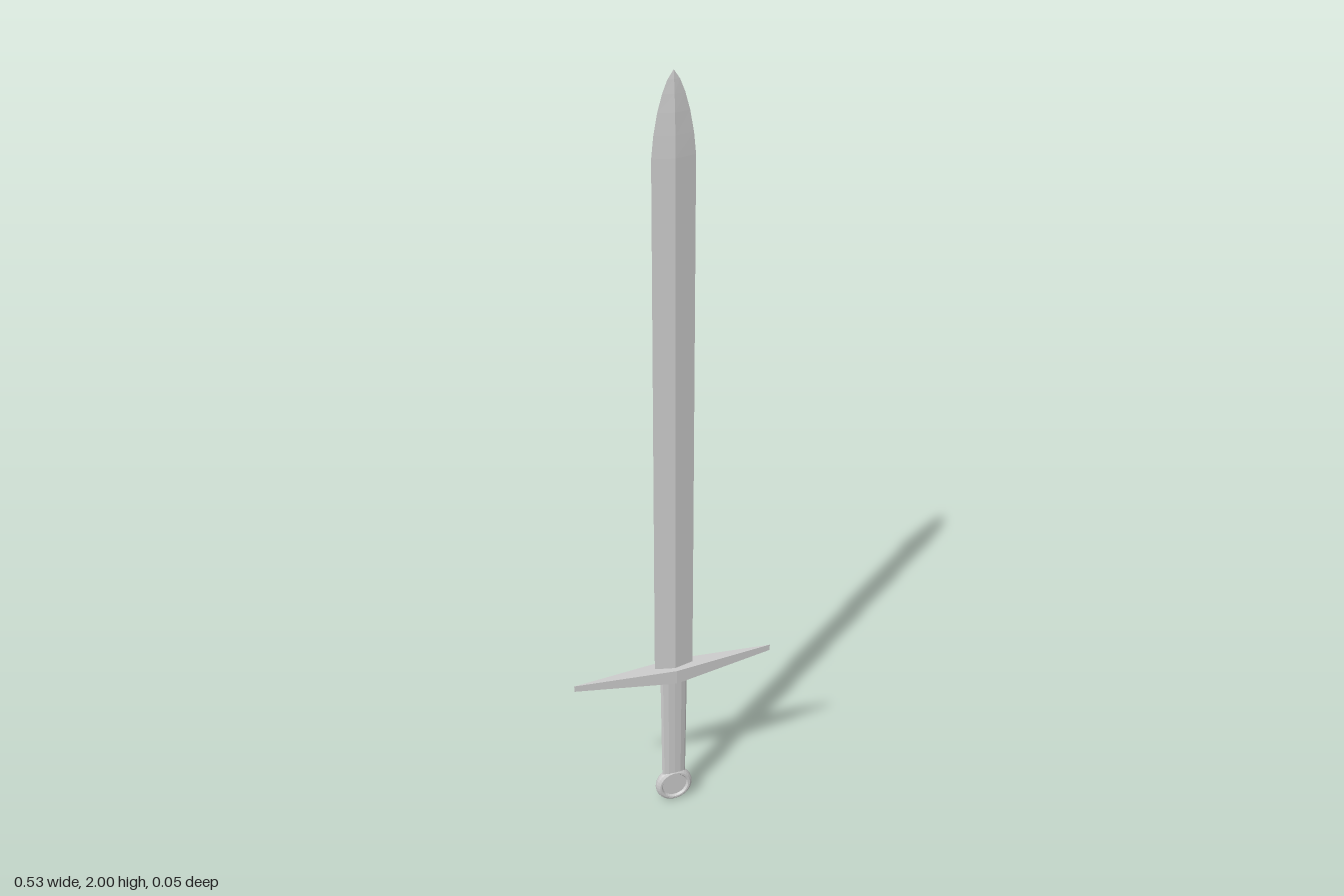
import * as THREE from 'three';

const grey = new THREE.MeshStandardMaterial({ color: 0xcccccc, flatShading: true });

// Joins rings of [x, y, z] points (lowest ring first) and caps both ends.
function loft(rings) {
  const n = rings[0].length, pos = [];
  const tri = (a, b, c) => pos.push(...a, ...b, ...c);
  for (let i = 0; i < rings.length - 1; i++) {
    for (let j = 0; j < n; j++) {
      const k = (j + 1) % n;
      const a = rings[i][j], b = rings[i][k], c = rings[i + 1][k], d = rings[i + 1][j];
      tri(a, d, b);
      tri(b, d, c);
    }
  }
  const low = rings[0], high = rings[rings.length - 1];
  for (let j = 1; j < n - 1; j++) {
    tri(low[0], low[j], low[j + 1]);
    tri(high[0], high[j + 1], high[j]);
  }
  const geo = new THREE.BufferGeometry();
  geo.setAttribute('position', new THREE.Float32BufferAttribute(pos, 3));
  geo.computeVertexNormals();
  return geo;
}

// Four-pointed cross-section; endY lets the outer points sit at another height.
const diamond = (w, d, y, endY = y) => [[w, endY, 0], [0, y, d], [-w, endY, 0], [0, y, -d]];

// Flattened oval cross-section
function oval(w, d, y, sides = 12) {
  return Array.from({ length: sides }, (_, i) => {
    const a = (i / sides) * Math.PI * 2;
    return [w * Math.cos(a), y, d * Math.sin(a)];
  });
}

export function createModel() {
  const group = new THREE.Group();
  const add = (name, geometry) => {
    const mesh = new THREE.Mesh(geometry, grey);
    mesh.name = name;
    group.add(mesh);
    return mesh;
  };

  // Blade: diamond section with a curved, pointed tip
  const bladeProfile = [
    [0.43, 0.051, 0.0125], [1.81, 0.051, 0.0125], [1.86, 0.046, 0.011],
    [1.91, 0.037, 0.009], [1.95, 0.026, 0.006], [1.98, 0.014, 0.003], [2, 0.0005, 0.0002],
  ];
  add('blade', loft(bladeProfile.map(([y, w, d]) => diamond(w, d, y))));

  // Crossguard: flat on top, deeper towards the middle underneath
  add('crossguard', loft([diamond(0.265, 0.026, 0.405, 0.428), diamond(0.265, 0.026, 0.445)]));

  // Grip: flattened handle narrowing slightly to the pommel
  add('grip', loft([oval(0.032, 0.011, 0.085), oval(0.036, 0.012, 0.42)]));

  // Pommel: disc with a raised rim and recessed faces
  const half = [[0, 0.007], [0.033, 0.007], [0.037, 0.0125], [0.042, 0.0125], [0.048, 0.008], [0.05, 0.003]];
  const profile = [
    ...half.map(([r, h]) => new THREE.Vector2(r, -h)),
    ...[...half].reverse().map(([r, h]) => new THREE.Vector2(r, h)),
  ];
  const pommel = add('pommel', new THREE.LatheGeometry(profile, 32));
  pommel.rotation.x = Math.PI / 2;
  pommel.position.y = 0.05;

  return group;
}
